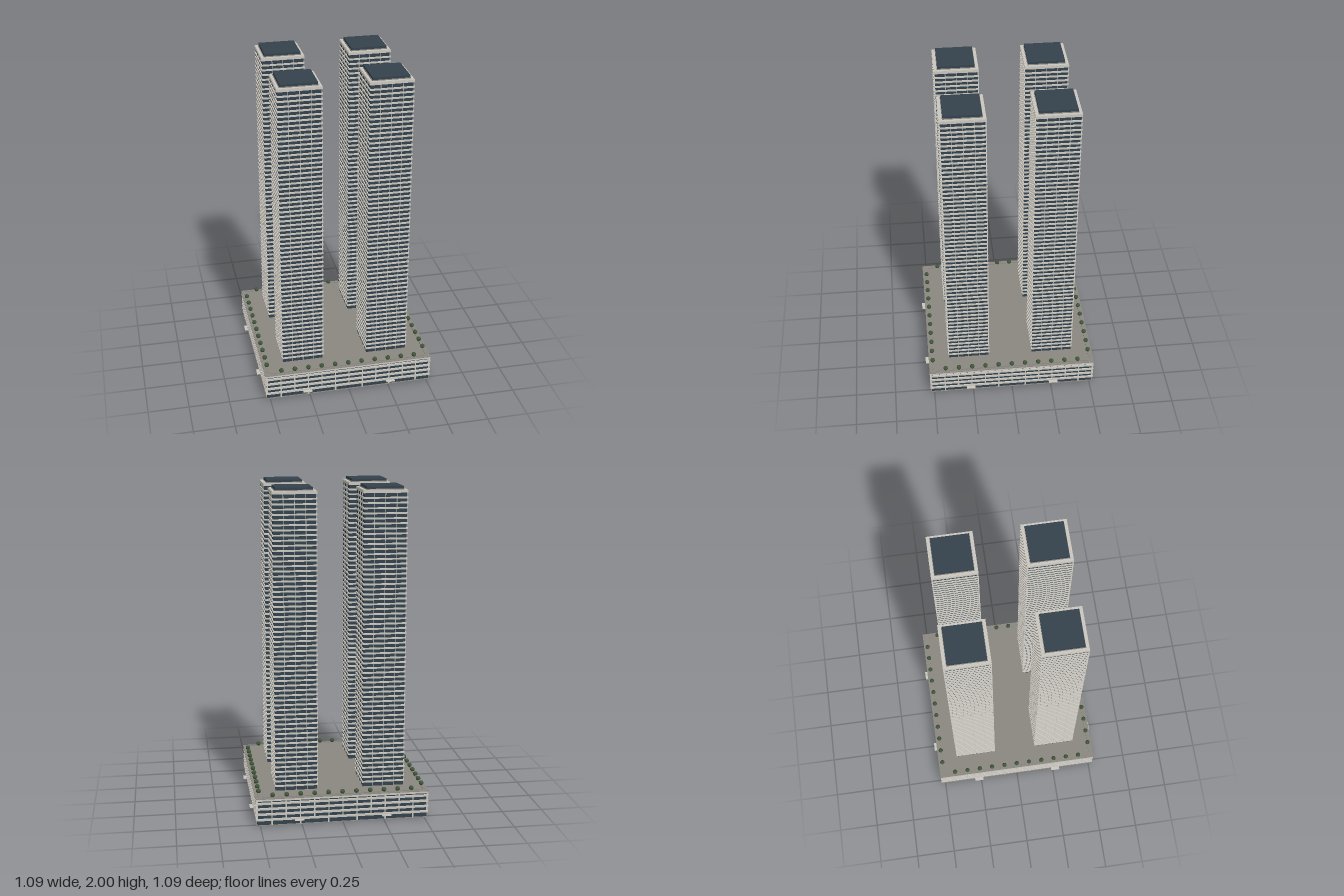
import * as THREE from 'three';
import { mergeGeometries } from 'three/addons/utils/BufferGeometryUtils.js';

const material = (name, color) => {
  const m = new THREE.MeshStandardMaterial({ color });
  m.name = name;
  return m;
};

// Box given by its centre in x and z and by its bottom and top in y
const box = (w, d, y0, y1, x = 0, z = 0) =>
  new THREE.BoxGeometry(w, y1 - y0, d).translate(x, (y0 + y1) / 2, z);

const addMesh = (group, name, geometries, mat) => {
  const mesh = new THREE.Mesh(mergeGeometries(geometries), mat);
  mesh.name = name;
  group.add(mesh);
  return mesh;
};

// Repeat one side's boxes around all four sides
const fourSides = (make) => [0, 1, 2, 3].flatMap((k) =>
  make().map((g) => g.rotateY(k * Math.PI / 2)));

export function createModel() {
  const glass = material('dark glass', 0x34424d);
  const stone = material('pale stone', 0xcac7bf);
  const deck = material('roof deck grey', 0x8b8881);
  const leaf = material('foliage green', 0x40563a);
  const bark = material('trunk brown', 0x5a4634);

  const model = new THREE.Group();
  model.name = 'towerComplex';

  // Podium: glass core, spandrel bands, piers and deck
  const podium = new THREE.Group();
  podium.name = 'podium';
  model.add(podium);
  addMesh(podium, 'podiumGlass', [box(1.034, 1.034, 0.004, 0.165)], glass);
  addMesh(podium, 'podiumBase', [box(1.044, 1.044, 0, 0.005)], deck);
  const bands = [0, 1, 2, 3].map((i) => {
    const y = 0.032 + i * 0.034;
    return box(1.05, 1.05, y, y + 0.013);
  });
  addMesh(podium, 'podiumBands', bands, stone);
  addMesh(podium, 'podiumCornice', [box(1.05, 1.05, 0.156, 0.168)], stone);
  addMesh(podium, 'podiumDeck', [box(1.052, 1.052, 0.168, 0.172)], deck);
  addMesh(podium, 'podiumPiers', fourSides(() => {
    const parts = [];
    for (let i = 0; i <= 12; i++) {
      const x = -0.516 + i * 0.086;
      parts.push(box(0.007, 0.007, 0.034, 0.16, x, 0.5185));
      if (i % 2) parts.push(box(0.009, 0.007, 0.004, 0.034, x, 0.5185));
    }
    return parts;
  }), stone);

  // Entrance canopies, two on each side
  addMesh(podium, 'entranceCanopies', fourSides(() => [-1, 1].map((s) =>
    box(0.056, 0.03, 0.03, 0.034, s * 0.265, 0.53))), stone);

  // Planters along the deck edge
  addMesh(podium, 'planters', fourSides(() =>
    [box(0.978, 0.012, 0.171, 0.177, 0, 0.504)]), deck);

  // Clipped trees in the planters
  const crowns = [], trunks = [];
  for (let i = -5; i <= 5; i++) {
    for (const s of [-1, 1]) {
      for (const [x, z] of [[i * 0.0845, s * 0.501], [s * 0.501, i * 0.0845]]) {
        crowns.push(new THREE.IcosahedronGeometry(0.0148, 1).translate(x, 0.187, z));
        trunks.push(new THREE.CylinderGeometry(0.002, 0.0025, 0.014, 6).translate(x, 0.177, z));
      }
    }
  }
  addMesh(podium, 'treeCrowns', crowns, leaf);
  addMesh(podium, 'treeTrunks', trunks, bark);

  // Towers: glass shaft, floor slabs, fine mullions, parapet and glazed crown
  const floors = 60, y0 = 0.172, y1 = 1.965, step = (y1 - y0) / floors;
  for (const sx of [-1, 1]) for (const sz of [-1, 1]) {
    const tower = new THREE.Group();
    tower.name = (sz > 0 ? 'front' : 'back') + (sx > 0 ? 'Left' : 'Right') + 'Tower';
    tower.position.set(sx * 0.267, 0, sz * 0.267);
    model.add(tower);
    addMesh(tower, 'glassShaft', [box(0.252, 0.252, y0, y1)], glass);
    const slabs = [];
    for (let i = 1; i < floors; i++) {
      const y = y0 + i * step;
      slabs.push(box(0.264, 0.264, y - 0.005, y + 0.005));
    }
    addMesh(tower, 'floorSlabs', slabs, stone);
    addMesh(tower, 'mullions', fourSides(() => [-1, 0, 1].map((k) =>
      box(0.003, 0.004, y0, y1, k * 0.066, 0.127))), stone);
    addMesh(tower, 'parapet', [box(0.264, 0.264, 1.963, 1.978), box(0.258, 0.258, 1.978, 1.981)], stone);
    addMesh(tower, 'crownBase', [box(0.226, 0.226, 1.98, 1.986)], deck);
    addMesh(tower, 'glassCrown', [box(0.22, 0.22, 1.986, 2.0)], glass);
  }
  return model;
}
